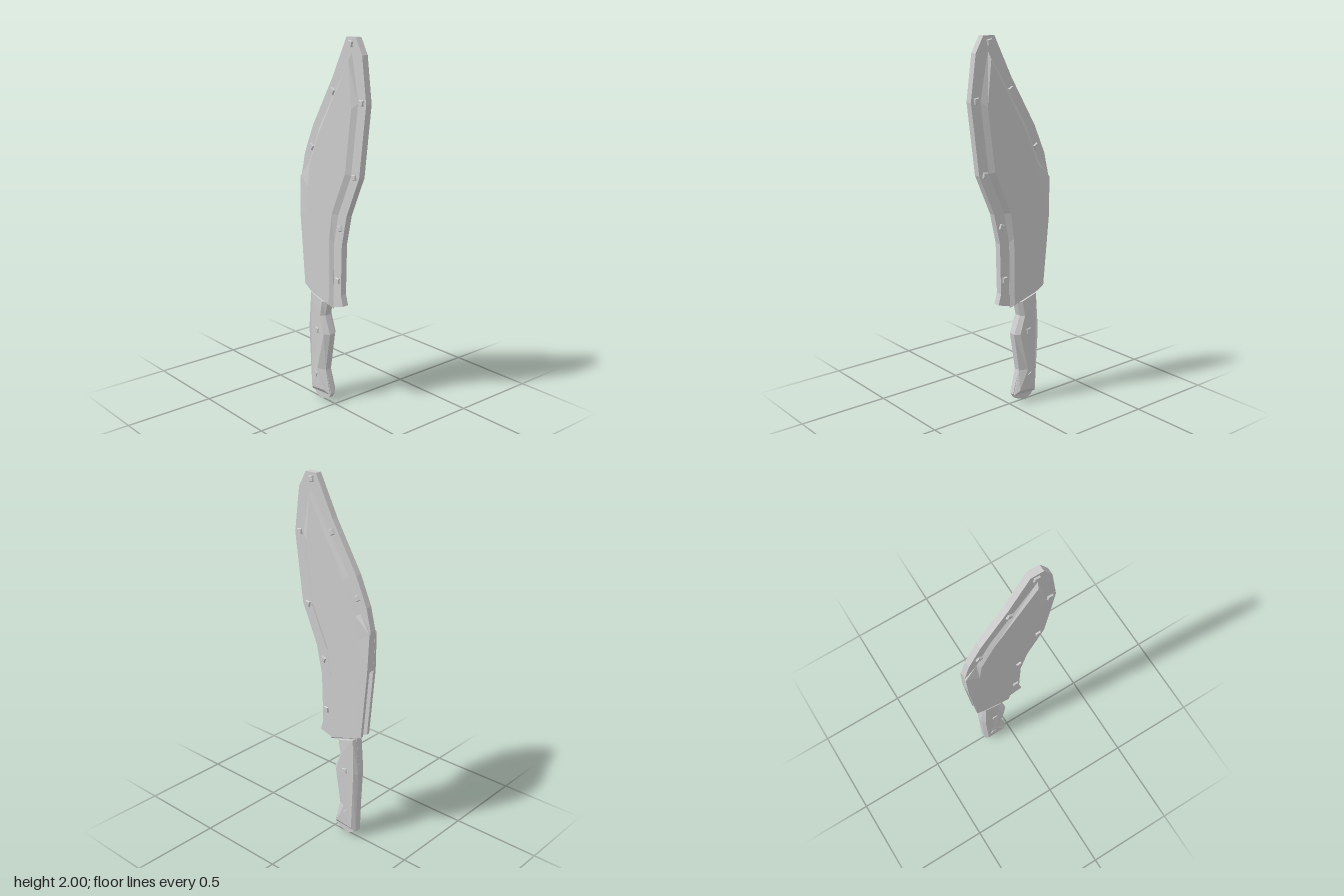
import * as THREE from 'three';

const material = new THREE.MeshStandardMaterial({ color: 0xcccccc, flatShading: true });

// Outline points are [z, y, x]; every loop starts at the top and runs down the back edge.
const ring = (points, x) => points.map(([z, y, own]) => [x ?? own, y, z]);

// Closed solid through rings of equal length, ordered from low x to high x
function loft(name, rings) {
  const pos = [];
  const tri = (a, b, c) => pos.push(...a, ...b, ...c);
  const n = rings[0].length;
  for (let r = 0; r < rings.length - 1; r++) {
    const a = rings[r], b = rings[r + 1];
    for (let i = 0; i < n; i++) {
      const j = (i + 1) % n;
      tri(a[i], b[i], a[j]);
      tri(b[i], b[j], a[j]);
    }
  }
  const cap = (loop, flip) => {
    const flat = loop.map(([, y, z]) => new THREE.Vector2(z, y));
    for (const [a, b, c] of THREE.ShapeUtils.triangulateShape(flat, [])) {
      if (flip) tri(loop[a], loop[c], loop[b]);
      else tri(loop[a], loop[b], loop[c]);
    }
  };
  cap(rings[0], false);
  cap(rings[rings.length - 1], true);
  const geometry = new THREE.BufferGeometry();
  geometry.setAttribute('position', new THREE.Float32BufferAttribute(pos, 3));
  geometry.computeVertexNormals();
  const mesh = new THREE.Mesh(geometry, material);
  mesh.name = name;
  return mesh;
}

const plate = (name, outline, half) => loft(name, [ring(outline, -half), ring(outline, half)]);

// Mirror a stack of rings to the other side, keeping low-to-high order
const mirrored = (rings) => rings.map((r) => r.map(([x, y, z]) => [-x, y, z])).reverse();

// Four-sided tapered stud on the +x or -x face
function stud(name, z, y, x, height, radius, turn, side) {
  const geometry = new THREE.CylinderGeometry(radius * 0.75, radius, height, 4);
  geometry.rotateY(Math.PI / 4 + turn);
  geometry.rotateZ(-side * Math.PI / 2);
  const mesh = new THREE.Mesh(geometry, material);
  mesh.position.set(side * (x + height / 2), y, z);
  mesh.name = name;
  return mesh;
}

export function createModel() {
  const model = new THREE.Group();
  model.name = 'sheathedKnife';

  // Sheath core with its thin flange; the lower back is cut away as a drawing slot
  const coreOutline = [
    [0.178, 2], [0.109, 2], [0, 1.79], [-0.156, 1.534], [-0.225, 1.38], [-0.254, 1.26],
    [-0.248, 1.04], [-0.17, 0.98], [-0.11, 0.612], [0, 0.572], [0.087, 0.596],
    [0.07, 0.655], [0.077, 0.93], [0.114, 1.094], [0.209, 1.306], [0.257, 1.68], [0.225, 1.916],
  ];
  model.add(plate('sheathFlange', coreOutline, 0.018));

  // Raised sheath sides: foot of the bevel and the flat top
  const panelFoot = [
    [0.15, 1.925, 0.018], [-0.105, 1.525, 0.018], [-0.185, 1.34, 0.018], [-0.255, 1.25, 0.028],
    [-0.248, 1.036, 0.034], [-0.212, 0.655, 0.034], [-0.16, 0.626, 0.034], [0.01, 0.566, 0.02],
    [0.015, 0.93, 0.018], [0.048, 1.09, 0.018], [0.148, 1.31, 0.018], [0.198, 1.68, 0.018],
  ];
  const panelTop = [
    [0.142, 1.885], [-0.09, 1.5], [-0.165, 1.33], [-0.18, 1.2], [-0.195, 1.05], [-0.206, 0.66],
    [-0.16, 0.634], [-0.01, 0.585], [-0.005, 0.95], [0.015, 1.09], [0.12, 1.32], [0.165, 1.65],
  ];
  const panelRings = [ring(panelFoot, 0.016), ring(panelFoot), ring(panelTop, 0.035)];
  model.add(loft('sheathPanelLeft', panelRings));
  model.add(loft('sheathPanelRight', mirrored(panelRings)));

  // Blade spine resting inside the slot
  const blade = [[-0.12, 1.05], [-0.18, 1.0], [-0.165, 0.6], [-0.06, 0.56], [-0.05, 0.7]];
  model.add(plate('blade', blade, 0.007));

  // Tang and butt
  const tang = [
    [-0.045, 0.63], [-0.165, 0.64], [-0.184, 0.415], [-0.168, 0.055], [-0.148, 0.025],
    [-0.105, 0], [-0.035, 0.028], [-0.018, 0.055], [-0.055, 0.19], [-0.02, 0.405], [-0.06, 0.505],
  ];
  model.add(plate('tang', tang, 0.013));

  // Bevelled grip
  const gripEdge = [
    [-0.04, 0.585], [-0.165, 0.625], [-0.184, 0.415], [-0.17, 0.04], [-0.022, 0.05],
    [-0.055, 0.19], [-0.02, 0.405], [-0.06, 0.505],
  ];
  const gripFace = [
    [-0.065, 0.59, 0.036], [-0.158, 0.62, 0.036], [-0.168, 0.415, 0.042], [-0.152, 0.064, 0.038],
    [-0.045, 0.075, 0.038], [-0.1, 0.19, 0.042], [-0.045, 0.405, 0.042], [-0.078, 0.505, 0.04],
  ];
  const gripHalf = [ring(gripEdge, 0.018), ring(gripFace)];
  model.add(loft('grip', [...mirrored(gripHalf), ...gripHalf]));

  // Studs around the sheath and pins through the grip
  const studs = [
    [0.14, 1.967, 0.2], [0.003, 1.725, 0.5], [-0.167, 1.42, 0.6], [0.223, 1.685, 0.1],
    [0.172, 1.306, -0.1], [0.066, 1.02, -0.4], [0.045, 0.73, 0.05],
  ];
  const pins = [[-0.105, 0.415, 0.15], [-0.118, 0.155, 0.5]];
  for (const side of [1, -1]) {
    for (const [z, y, turn] of studs) {
      model.add(stud('sheathStud', z, y, 0.016, 0.011, 0.023, side * turn, side));
    }
    for (const [z, y, turn] of pins) {
      model.add(stud('gripPin', z, y, 0.036, 0.009, 0.022, side * turn, side));
    }
  }
  return model;
}
